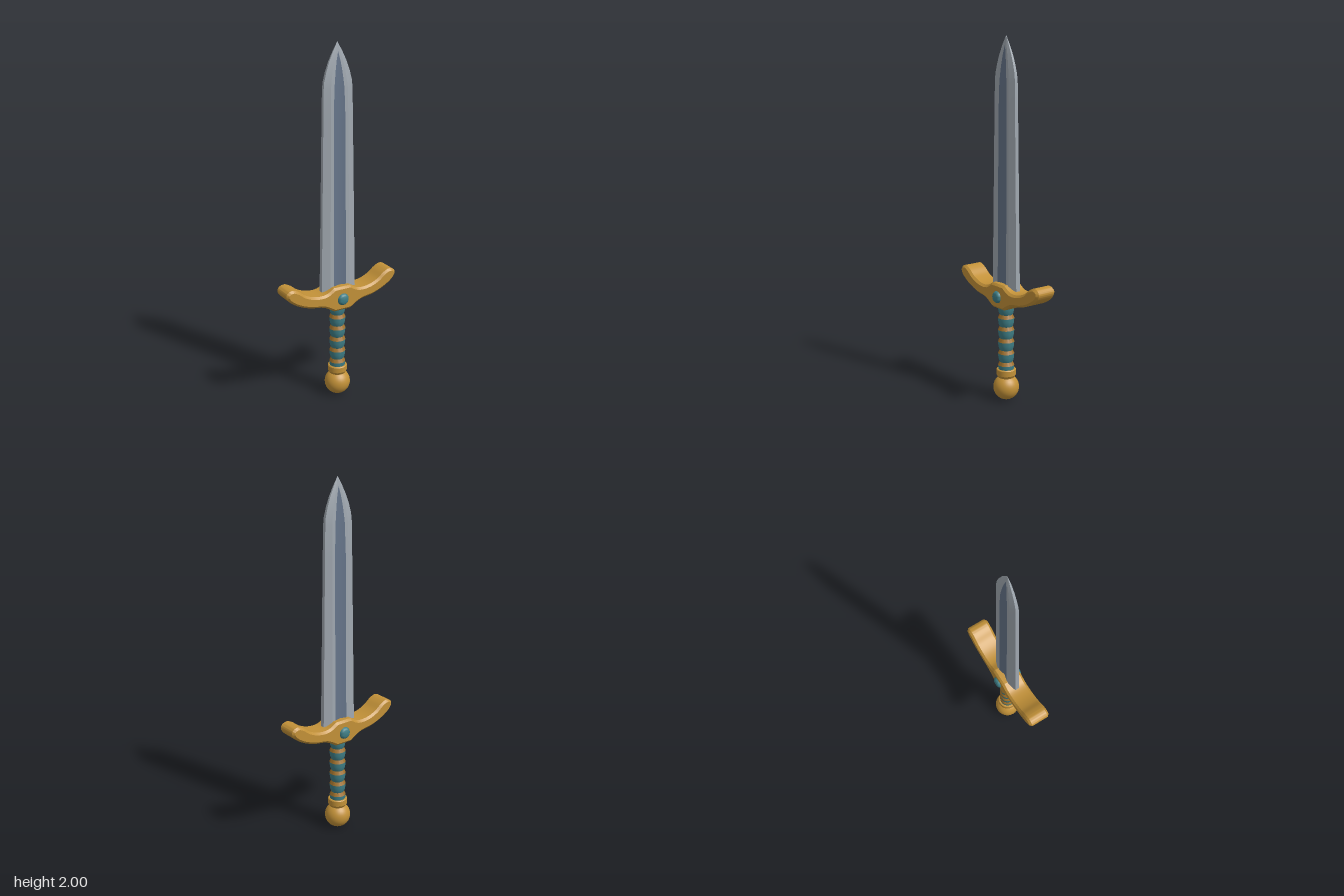
import * as THREE from 'three';
import { toCreasedNormals } from 'three/addons/utils/BufferGeometryUtils.js';

const material = (name, color) => {
  const m = new THREE.MeshStandardMaterial({ color });
  m.name = name;
  return m;
};

// Blade stations: y, half width, shoulder, fuller half width, half thickness, fuller depth
const STATIONS = [
  [0.60, 0.106, 0.060, 0.038, 0.030, 0.010],
  [1.60, 0.089, 0.053, 0.035, 0.024, 0.008],
  [1.76, 0.086, 0.050, 0.030, 0.022, 0.007],
  [1.80, 0.082, 0.046, 0.026, 0.020, 0.006],
  [1.85, 0.069, 0.038, 0.020, 0.017, 0.004],
  [1.90, 0.051, 0.027, 0.012, 0.013, 0.002],
  [1.95, 0.027, 0.013, 0.000, 0.008, 0.000],
  [2.00, 0.000, 0.000, 0.000, 0.000, 0.000],
];

// Closed cross-section, front from -x to +x, then the back by half a turn
function bladeRing([y, w, s, f, t, d]) {
  const front = [[-w, t * 0.42], [-s, t], [-f, t], [0, t - d], [f, t], [s, t], [w, t * 0.42]];
  return [...front, ...front.map(([x, z]) => [-x, -z])].map(([x, z]) => new THREE.Vector3(x, y, z));
}

// Lofts the chosen strips of the blade, skipping collapsed triangles
function bladeStrips(wanted, crease) {
  const rings = STATIONS.map(bladeRing);
  const points = [];
  const tri = (a, b, c) => {
    if (new THREE.Triangle(a, b, c).getArea() > 1e-8) points.push(a, b, c);
  };
  for (let i = 0; i < rings.length - 1; i++) {
    for (let j = 0; j < 14; j++) {
      if (!wanted.includes(j % 7)) continue;
      const k = (j + 1) % 14;
      tri(rings[i][j], rings[i][k], rings[i + 1][k]);
      tri(rings[i][j], rings[i + 1][k], rings[i + 1][j]);
    }
  }
  const g = new THREE.BufferGeometry().setFromPoints(points);
  return toCreasedNormals(g, crease);
}

function lathe(profile, segments = 32) {
  const g = new THREE.LatheGeometry(profile.map(([r, y]) => new THREE.Vector2(r, y)), segments);
  return toCreasedNormals(g, 0.5);
}

// Curved crossguard, mirrored about x = 0, with bevelled rims
function guardGeometry() {
  const upper = [[0.05, 0.672], [0.1, 0.645], [0.164, 0.645], [0.225, 0.667], [0.27, 0.7], [0.305, 0.714],
    [0.335, 0.704], [0.344, 0.684], [0.33, 0.656], [0.28, 0.619], [0.2, 0.587], [0.116, 0.571], [0.05, 0.534]];
  const curve = new THREE.CatmullRomCurve3(upper.map(([x, y]) => new THREE.Vector3(x, y, 0)));
  const right = curve.getPoints(60).map((p) => new THREE.Vector2(p.x, p.y));
  const left = right.map((p) => new THREE.Vector2(-p.x, p.y)).reverse();
  const shape = new THREE.Shape([...right, ...left]);
  const bevel = 0.012;
  const g = new THREE.ExtrudeGeometry(shape, {
    depth: 0.126 - 2 * bevel, bevelEnabled: true, bevelSegments: 1,
    bevelSize: bevel, bevelThickness: bevel, bevelOffset: -bevel,
  });
  g.translate(0, 0, -(0.126 - 2 * bevel) / 2);
  return toCreasedNormals(g, 0.5);
}

export function createModel() {
  const steel = material('steel', 0xa0a8b0);
  const darkSteel = material('dark steel', 0x66758a);
  const gold = material('gold', 0xc29138);
  const bronze = material('bronze', 0xa0712c);
  const teal = material('teal', 0x3f7f87);

  const model = new THREE.Group();
  model.name = 'sword';
  const add = (name, geometry, mat, parent = model) => {
    const mesh = new THREE.Mesh(geometry, mat);
    mesh.name = name;
    parent.add(mesh);
    return mesh;
  };

  // Blade with a hollow fuller on both sides
  add('blade', bladeStrips([0, 1, 4, 5, 6], 0.3), steel);
  add('fuller', bladeStrips([2, 3], 0.7), darkSteel);

  // Crossguard and its two gems
  add('crossguard', guardGeometry(), gold);
  for (const side of [1, -1]) {
    const gem = add('gem', lathe([[0.034, -0.004], [0.034, 0.002], [0.031, 0.009], [0.026, 0.015], [0.02, 0.018], [0, 0.019]], 20), teal);
    gem.position.set(0, 0.6, side * 0.061);
    gem.rotation.x = side * Math.PI / 2;
  }

  // Grip: flaring wraps, each capped by a bronze band that slopes in upwards
  const grip = new THREE.Group();
  grip.name = 'grip';
  model.add(grip);
  const pitch = 0.068, bandHeight = 0.02;
  for (let i = 0; i < 6; i++) {
    const y = 0.153 + i * pitch;
    const top = y + pitch - bandHeight;
    add('gripWrap', lathe([[0.036, y], [0.041, y + 0.012], [0.044, y + 0.03], [0.045, top]]), teal, grip);
    if (i < 5) add('gripBand', lathe([[0.045, top], [0.036, y + pitch]]), bronze, grip);
  }

  // Pommel ball and collar
  const ball = add('pommel', new THREE.SphereGeometry(0.072, 32, 20), gold);
  ball.position.y = 0.072;
  add('pommelCollar', lathe([[0.03, 0.12], [0.045, 0.13], [0.049, 0.138], [0.054, 0.145], [0.054, 0.175], [0.05, 0.179], [0, 0.179]]), gold);

  return model;
}
